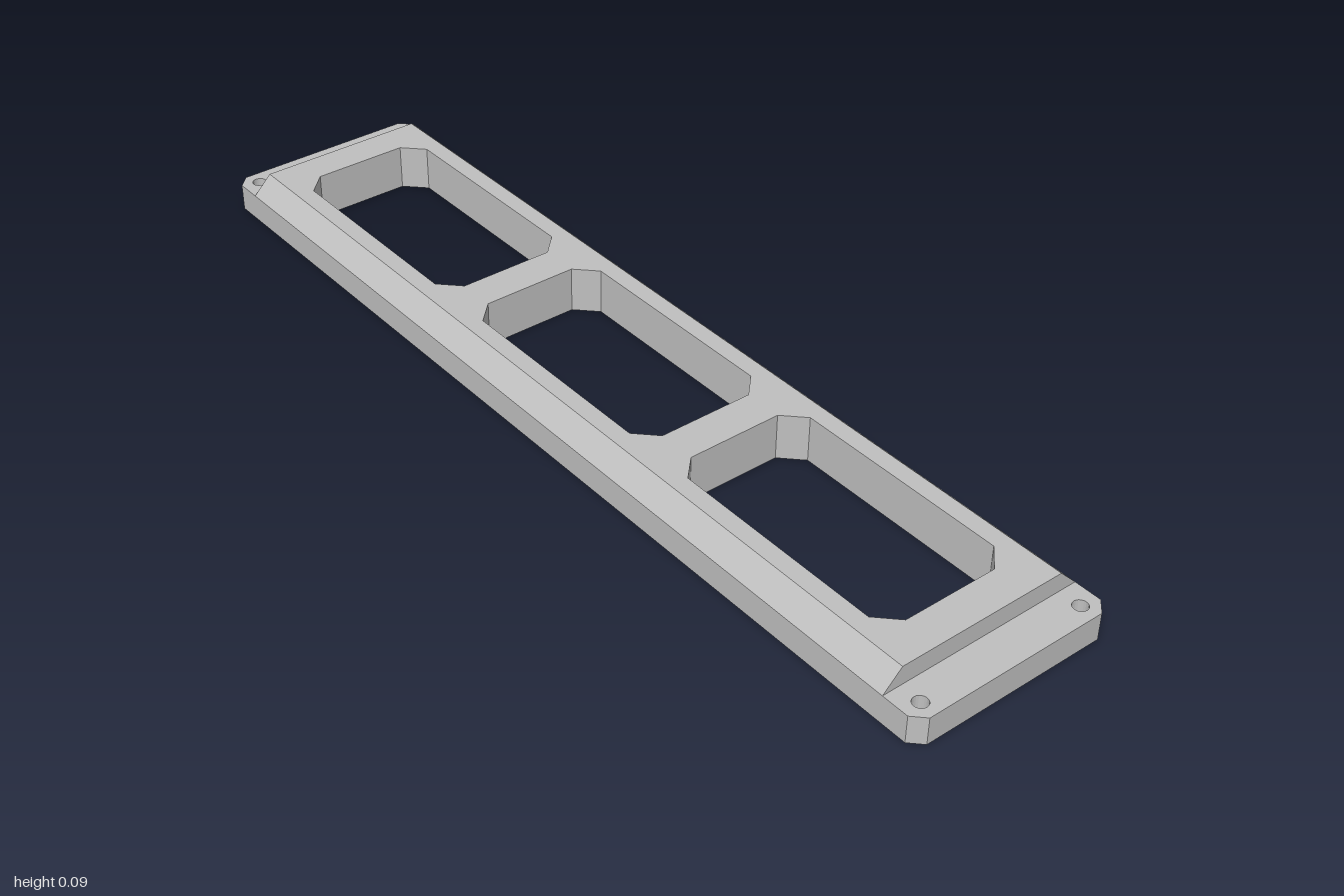
import * as THREE from 'three';

const WINDOW_X = [-0.593, 0, 0.593];
const BASE_TOP = 0.055, TOTAL = 0.093;

// Rectangle with chamfered corners, written into a Shape or Path
function chamferedRect(path, cx, hx, hz, c) {
  path.setFromPoints([
    [-hx + c, -hz], [hx - c, -hz], [hx, -hz + c], [hx, hz - c],
    [hx - c, hz], [-hx + c, hz], [-hx, hz - c], [-hx, -hz + c],
  ].map(([x, z]) => new THREE.Vector2(cx + x, z)));
  path.closePath();
  return path;
}

function addWindows(shape) {
  for (const x of WINDOW_X) shape.holes.push(chamferedRect(new THREE.Path(), x, 0.258, 0.137, 0.04));
}

function addHoles(shape, xs, z, r) {
  for (const x of xs) for (const s of [-1, 1]) {
    shape.holes.push(new THREE.Path().absarc(x, s * z, r, 0, Math.PI * 2, true));
  }
}

// Extrude a plan outline upwards from y0 to y1
function slab(shape, y0, y1) {
  const g = new THREE.ExtrudeGeometry(shape, { depth: y1 - y0, bevelEnabled: false, curveSegments: 10 });
  return g.rotateX(-Math.PI / 2).translate(0, y0, 0);
}

export function createModel() {
  const grey = new THREE.MeshStandardMaterial({ color: 0xbfbfbf });
  grey.name = 'plain grey';
  const group = new THREE.Group();
  group.name = 'windowFrame';

  // Base plate: corner screw holes, and blind holes capped by the raised frame
  const base = chamferedRect(new THREE.Shape(), 0, 1, 0.211, 0.023);
  addWindows(base);
  addHoles(base, [-0.967, 0.967], 0.175, 0.014);
  addHoles(base, [-0.889, -0.296, 0.296, 0.889], 0.116, 0.013);
  const basePlate = new THREE.Mesh(slab(base, 0, BASE_TOP), grey);
  basePlate.name = 'basePlate';

  // Raised frame: long edges slope inwards towards the top
  const hx = 0.923, hz = 0.211;
  const raised = new THREE.Shape([[-hx, -hz], [hx, -hz], [hx, hz], [-hx, hz]]
    .map(([x, z]) => new THREE.Vector2(x, z)));
  addWindows(raised);
  const geo = slab(raised, BASE_TOP, TOTAL);
  const pos = geo.attributes.position;
  for (let i = 0; i < pos.count; i++) {
    const z = pos.getZ(i);
    if (Math.abs(z) > 0.2 && pos.getY(i) > 0.08) pos.setZ(i, Math.sign(z) * 0.173);
  }
  geo.computeVertexNormals();
  const raisedFrame = new THREE.Mesh(geo, grey);
  raisedFrame.name = 'raisedFrame';

  group.add(basePlate, raisedFrame);
  return group;
}
